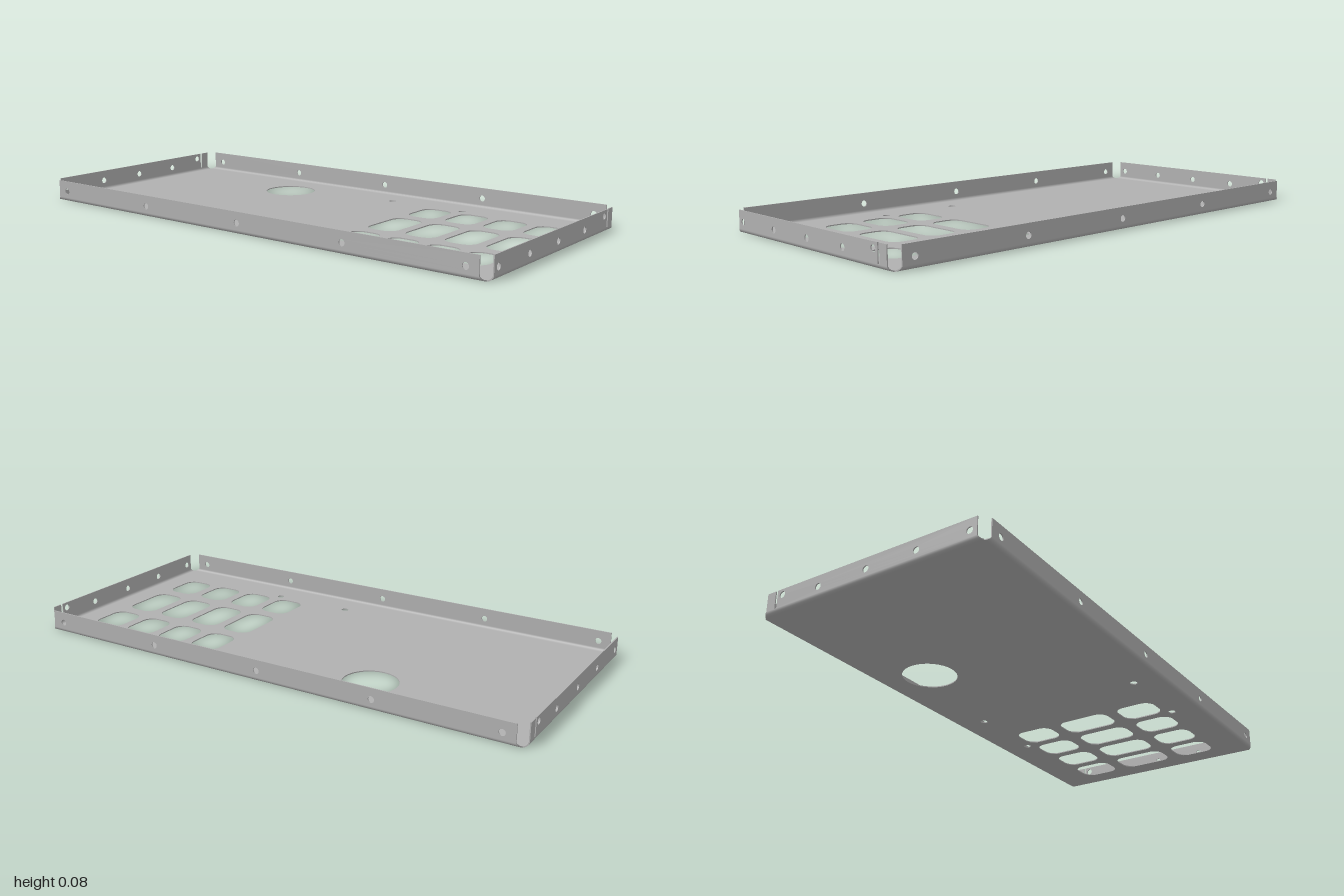
import * as THREE from 'three';

const W = 0.457, L = 1, H = 0.081; // half width, half length, height
const T = 0.004, R = 0.015;        // sheet thickness, outer bend radius
const metal = new THREE.MeshStandardMaterial({ color: 0xb0b0b0 });
metal.name = 'sheet metal grey';

function mesh(geometry, name) {
  const m = new THREE.Mesh(geometry, metal);
  m.name = name;
  return m;
}

function circle(x, y, r) {
  return new THREE.Path().absarc(x, y, r, 0, Math.PI * 2, true);
}

function roundedSlot(x, y, w, h, r) {
  const p = new THREE.Path(), a = w / 2 - r, b = h / 2 - r, q = Math.PI / 2;
  p.absarc(x + a, y + b, r, 0, q);
  p.absarc(x - a, y + b, r, q, 2 * q);
  p.absarc(x - a, y - b, r, 2 * q, 3 * q);
  p.absarc(x + a, y - b, r, 3 * q, 4 * q);
  p.closePath();
  return p;
}

function plate(shape) {
  return new THREE.ExtrudeGeometry(shape, { depth: T, bevelEnabled: false, curveSegments: 16 });
}

// Quarter-round bend along x, narrowing from the floor edge to the flange
function bendGeometry(floorHalf, flangeHalf) {
  const pos = [], nor = [], idx = [], n = 8;
  const add = (x, y, z, nx, ny, nz) => { pos.push(x, y, z); nor.push(nx, ny, nz); };
  const ring = (i, r) => {
    const a = i / n * Math.PI / 2;
    return [R - r * Math.cos(a), r * Math.sin(a), Math.cos(a), Math.sin(a),
      floorHalf + (flangeHalf - floorHalf) * i / n];
  };
  for (const [r, s] of [[R, 1], [R - T, -1]]) { // outer and inner skins
    const base = pos.length / 3;
    for (let i = 0; i <= n; i++) {
      const [y, z, c, d, h] = ring(i, r);
      add(-h, y, z, 0, -c * s, d * s);
      add(h, y, z, 0, -c * s, d * s);
      if (i === n) break;
      const a = base + i * 2;
      if (s > 0) idx.push(a, a + 1, a + 3, a, a + 3, a + 2);
      else idx.push(a, a + 3, a + 1, a, a + 2, a + 3);
    }
  }
  for (const s of [-1, 1]) { // end edges
    const base = pos.length / 3;
    for (let i = 0; i <= n; i++) {
      for (const r of [R, R - T]) {
        const [y, z, , , h] = ring(i, r);
        add(s * h, y, z, s, 0, 0);
      }
      if (i === n) break;
      const a = base + i * 2;
      if (s > 0) idx.push(a, a + 1, a + 3, a, a + 3, a + 2);
      else idx.push(a, a + 3, a + 1, a, a + 2, a + 3);
    }
  }
  const g = new THREE.BufferGeometry();
  g.setAttribute('position', new THREE.Float32BufferAttribute(pos, 3));
  g.setAttribute('normal', new THREE.Float32BufferAttribute(nor, 3));
  g.setIndex(idx);
  return g;
}

// Upright wall with its bend, facing local +z; slot is [x0, x1] or null
function wall(name, floorHalf, flangeHalf, distance, angle, holes, slot) {
  const s = new THREE.Shape();
  s.moveTo(-flangeHalf, R);
  s.lineTo(flangeHalf, R);
  s.lineTo(flangeHalf, H);
  if (slot) {
    s.lineTo(slot[1], H);
    s.lineTo(slot[1], R + 0.001);
    s.lineTo(slot[0], R + 0.001);
    s.lineTo(slot[0], H);
  }
  s.lineTo(-flangeHalf, H);
  s.closePath();
  for (const [x, y] of holes) s.holes.push(circle(x, y, 0.012));

  const g = new THREE.Group();
  g.name = name;
  const flange = mesh(plate(s), name + 'Flange');
  flange.position.z = distance - T;
  const bend = mesh(bendGeometry(floorHalf, flangeHalf), name + 'Bend');
  bend.position.z = distance - R;
  g.add(flange, bend);
  g.rotation.y = angle;
  return g;
}

export function createModel() {
  const model = new THREE.Group();
  model.name = 'sheetMetalCover';
  const fx = W - R, fz = L - R;

  // Floor panel, drawn with shape y = -z
  const floor = new THREE.Shape();
  floor.moveTo(-fx, -fz);
  floor.lineTo(fx, -fz);
  floor.lineTo(fx, fz);
  floor.lineTo(-fx, fz);
  floor.closePath();
  floor.holes.push(circle(0.258, 0.346, 0.102));
  for (const x of [-0.343, 0.343])
    for (const z of [0.116, 0.437]) floor.holes.push(circle(x, -z, 0.014));
  // Keypad openings
  for (let row = 0; row < 4; row++)
    for (const [x, w] of [[-0.235, 0.16], [0, 0.217], [0.235, 0.16]])
      floor.holes.push(roundedSlot(x, -(0.36 + row * 0.16), w, 0.124, 0.042));
  const floorMesh = mesh(plate(floor), 'floorPanel');
  floorMesh.rotation.x = -Math.PI / 2;
  model.add(floorMesh);

  // End walls: the tab slot lies on the +x side of both
  const endHoles = [[-0.4, 0.04], [-0.2, 0.04], [0, 0.04], [0.2, 0.04], [0.36, 0.06]];
  model.add(wall('frontWall', fx, 0.427, L, 0, endHoles, [0.382, 0.391]));
  model.add(wall('backWall', fx, 0.427, L, Math.PI,
    endHoles.map(([x, y]) => [-x, y]), [-0.391, -0.382]));

  // Side walls
  const sideHoles = [-0.92, -0.46, 0, 0.46, 0.92].map((x) => [x, 0.04]);
  model.add(wall('leftWall', fz, 0.967, W, Math.PI / 2, sideHoles, null));
  model.add(wall('rightWall', fz, 0.967, W, -Math.PI / 2, sideHoles, null));
  return model;
}
